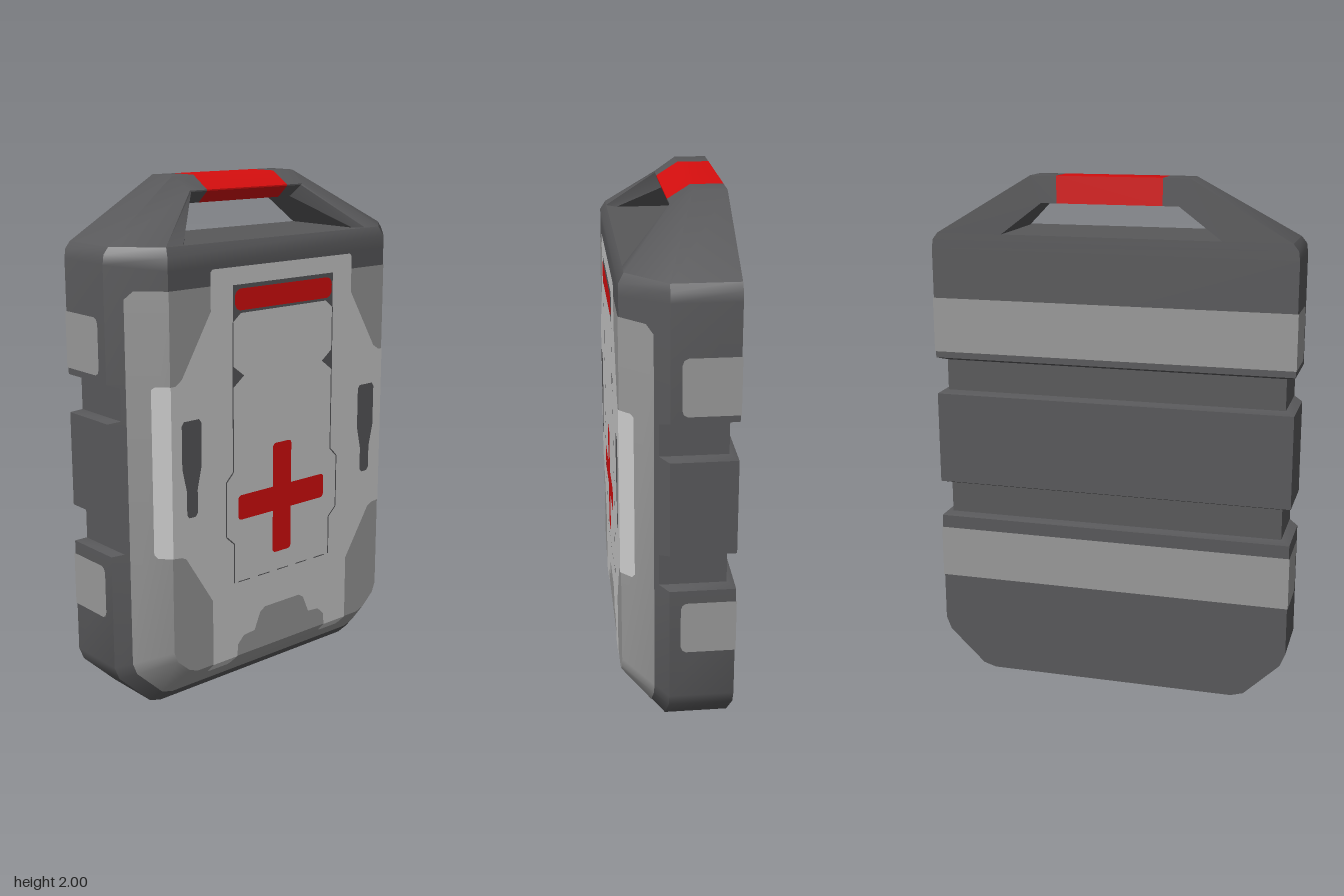
import * as THREE from 'three';
import { toCreasedNormals } from 'three/addons/utils/BufferGeometryUtils.js';

const flat = (name, color) => {
  const m = new THREE.MeshStandardMaterial({ color });
  m.name = name;
  return m;
};

// Skin over a list of cross-sections; closed sections wrap round, caps fill both ends
function loft(rows, { closed = true, caps = false } = {}) {
  const pos = [];
  const tri = (a, b, c) => {
    const [A, B, C] = [a, b, c].map(p => new THREE.Vector3(...p));
    if (B.clone().sub(A).cross(C.clone().sub(A)).length() > 1e-7) pos.push(...a, ...b, ...c);
  };
  const n = rows[0].length;
  for (let k = 0; k < rows.length - 1; k++) {
    for (let j = 0; j < (closed ? n : n - 1); j++) {
      const i = (j + 1) % n, lo = rows[k], hi = rows[k + 1];
      tri(lo[j], lo[i], hi[i]);
      tri(lo[j], hi[i], hi[j]);
    }
  }
  if (caps) {
    const lo = rows[0], hi = rows[rows.length - 1];
    for (let j = 1; j < n - 1; j++) {
      tri(lo[0], lo[j + 1], lo[j]);
      tri(hi[0], hi[j], hi[j + 1]);
    }
  }
  const g = new THREE.BufferGeometry();
  g.setAttribute('position', new THREE.Float32BufferAttribute(pos, 3));
  return toCreasedNormals(g, 0.6);
}

const polygon = pts => new THREE.ShapeGeometry(new THREE.Shape(pts.map(p => new THREE.Vector2(...p))));
const mirrorX = pts => pts.map(([x, y]) => [-x, y]);
const symmetric = half => [...half, ...mirrorX(half).reverse()];

// Rectangle with clipped-round corners
function roundRect(cx, cy, w, h, r) {
  const s = new THREE.Shape(), x = w / 2, y = h / 2;
  [[x - r, y - r, 0], [r - x, y - r, 1], [r - x, r - y, 2], [x - r, r - y, 3]].forEach(([px, py, q]) =>
    s.absarc(cx + px, cy + py, r, q * Math.PI / 2, (q + 1) * Math.PI / 2, false));
  return new THREE.ShapeGeometry(s, 4);
}

export function createModel() {
  const root = new THREE.Group();
  root.name = 'medicalCase';
  const dark = flat('darkGreyShell', 0x58585a);
  const mid = flat('midGreyTrim', 0x989898);
  const light = flat('lightGreyPanel', 0xcbcbcb);
  const red = flat('red', 0xd60e0e);
  const add = (name, geometry, material, z = 0) => {
    const m = new THREE.Mesh(geometry, material);
    m.name = name;
    m.position.z = z;
    root.add(m);
    return m;
  };

  // Half outline: outer x, y; inner (front face) x, y; groove depth; front z
  const groove = (a, b) => [
    [.7, a, .54, a], [.7, a + .012, .54, a + .012, .035],
    [.7, b - .012, .54, b - .012, .035], [.7, b, .54, b]];
  const bottom = [
    [.49, 0, .43, .165], [.54, .015, .47, .18], [.68, .15, .525, .23], [.7, .2, .54, .27]];
  const outline = [
    ...bottom, ...groove(.645, .79), ...groove(1.15, 1.295),
    [.7, 1.72, .54, 1.7], [.695, 1.755, .54, 1.745], [.675, 1.78, .53, 1.78, 0, .18]];

  // Shell with bevelled front and two grooves round sides and back
  const shellRow = ([ox, oy, ix, iy, g = 0, zf = .2]) => {
    const x = ox - g, back = -.2 + g * .86, side = .04 + g;
    return [[-x, oy, back], [-x, oy, side], [-ix, iy, zf], [ix, iy, zf], [x, oy, side], [x, oy, back]];
  };
  const first = shellRow(outline[0]);
  const sole = [first[0], first[1], first[1], first[4], first[4], first[5]];
  add('shell', loft([sole, ...outline.map(shellRow)], { caps: true }), dark);

  // Carry handle: one arm section list, mirrored, with a red grip in the middle
  const base = [[.675, 1.78, -.2], [.42, 1.78, -.2], [.42, 1.78, .14],
    [.455, 1.78, .18], [.53, 1.78, .18], [.675, 1.78, .04]];
  const shoulder = [[.3, 2, -.2], [.26, 1.9, -.2], [.26, 1.9, -.05],
    [.275, 1.945, 0], [.28, 1.95, 0], [.3, 2, -.08]];
  const grip = shoulder.map(([, y, z]) => [.2, y, z]);
  const flip = s => s.map(([x, y, z]) => [-x, y, z]);
  add('handleArmLeft', loft([base, shoulder, grip]), dark);
  add('handleArmRight', loft([flip(grip), flip(shoulder), flip(base)]), dark);
  add('handleGrip', loft([grip, flip(grip)]), red);

  // Grey cover that wraps over the bevel
  const coverRow = ([ox, oy, ix, iy], t = .3) => {
    const x = ox + (ix - ox) * t, y = oy + (iy - oy) * t, z = .04 + .16 * t;
    return [[-x, y, z], [-ix, iy, .2], [ix, iy, .2], [x, y, z]];
  };
  const cover = bottom.map(p => coverRow(p));
  cover.push(coverRow([.7, 1.6, .54, 1.6]), coverRow([.7, 1.63, .54, 1.63], .45));
  const [c0, , , c3] = cover[0];
  add('cover', loft([[c0, c0, c3, c3], ...cover], { closed: false }), mid, .003);

  // Light front panel, with wings and feet folded over the bevel
  add('frontPanel', polygon(symmetric([
    [.345, 1.69], [.355, 1.68], [.355, 1.54], [.49, 1.31], [.52, 1.29], [.54, 1.29], [.54, .645],
    [.5, .64], [.48, .63], [.355, .43], [.355, .165], [.235, .165], [.23, .215], [.2, .245],
    [.145, .25], [.115, .32], [.09, .335]])), light, .206);
  for (const s of [-1, 1]) {
    const side = s > 0 ? 'Left' : 'Right';
    const wing = [[.54, .645, .2], [.58, .645, .16], [.59, .66, .15],
      [.59, 1.28, .15], [.58, 1.29, .16], [.54, 1.29, .2]];
    const order = p => s > 0 ? p : flip(p);
    const strip = s > 0
      ? [[wing[0], wing[1]], [wing[0], wing[2]], [wing[5], wing[3]], [wing[5], wing[4]]]
      : [[wing[1], wing[0]], [wing[2], wing[0]], [wing[3], wing[5]], [wing[4], wing[5]]];
    add('panelWing' + side, loft(strip.map(order), { closed: false }), light, .006);
    const foot = [[[.25, .12, .156], [.345, .12, .156]], [[.24, .13, .166], [.355, .13, .166]],
      [[.235, .165, .2], [.355, .165, .2]]];
    add('panelFoot' + side,
      loft(foot.map(r => s > 0 ? r : flip(r).reverse()), { closed: false }), light, .006);

    // Latch slots and corner markers
    const put = p => s > 0 ? p : mirrorX(p);
    add('latchSlot' + side, polygon(put([
      [.415, 1.155], [.485, 1.155], [.495, 1.14], [.495, .98], [.475, .89], [.475, .8], [.465, .787],
      [.435, .787], [.425, .8], [.425, .89], [.405, .98], [.405, 1.14]])), dark, .208);
    add('marker' + side, polygon(put([[.252, 1.325], [.252, 1.245], [.2, 1.285]])), dark, .208);

    // Fine seam lines round the lid
    const seam = [[.253, 1.49], [.253, .92], [.288, .885], [.288, .67], [.25, .635], [.25, .475]];
    for (let i = 0; i < seam.length - 1; i++) {
      const [ax, ay] = seam[i], [bx, by] = seam[i + 1];
      const m = add('seam' + side, new THREE.PlaneGeometry(.005, Math.hypot(bx - ax, by - ay)), dark, .2075);
      m.position.set(s * (ax + bx) / 2, (ay + by) / 2, .2075);
      m.rotation.z = Math.atan2(s * (ax - bx), by - ay) + Math.PI;
    }
  }
  for (let i = 0; i < 5; i++) {
    add('lowerSeam', new THREE.PlaneGeometry(.06, .004).translate(-.2 + i * .1, .475, 0), dark, .2075);
  }

  // Red label bar in its dark recess
  add('labelRecess', polygon(symmetric([[.252, 1.625], [.252, 1.49], [.215, 1.52]])), dark, .208);
  add('labelBar', roundRect(0, 1.57, .49, .08, .03), red, .21);

  // Red cross
  add('crossUpright', roundRect(-.008, .775, .095, .445, .015), red, .21);
  add('crossBar', roundRect(-.008, .775, .445, .098, .015), red, .2102);

  // Grey bands round the back, ending in rounded tabs on the sides
  for (const [lo, hi] of [[.39, .595], [1.32, 1.53]]) {
    const h = hi - lo, y = (lo + hi) / 2;
    add('backBand', new THREE.PlaneGeometry(1.406, h).rotateY(Math.PI).translate(0, y, 0), mid, -.203);
    for (const s of [-1, 1]) {
      const tab = [[.203, lo], [.203, hi], [.02, hi], [.006, hi - .008], [0, hi - .025],
        [0, lo + .025], [.006, lo + .008], [.02, lo]].map(([u, v]) => [s * u, v]);
      add('bandTab', polygon(tab).rotateY(s * Math.PI / 2).translate(s * .703, 0, 0), mid);
    }
  }
  return root;
}
